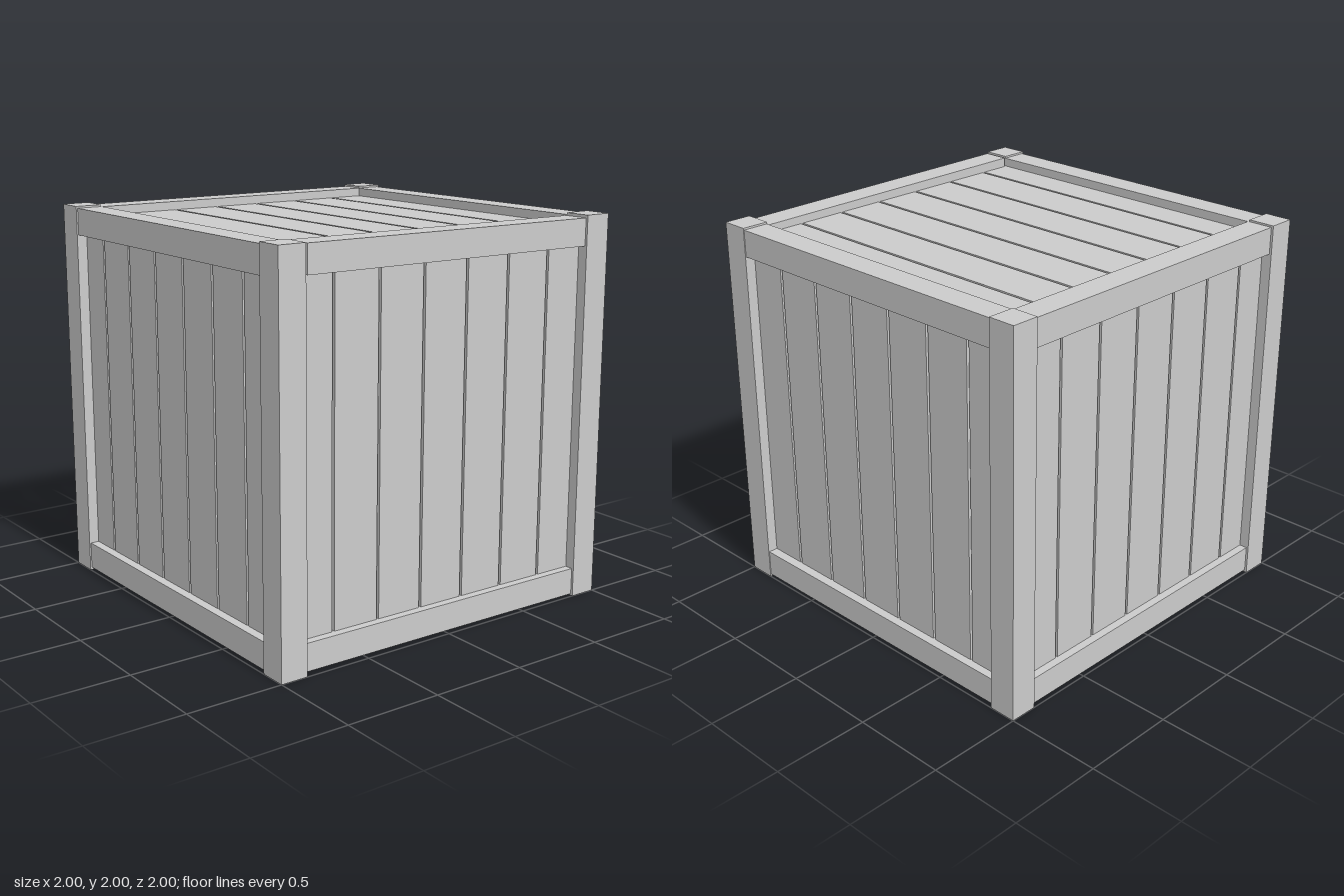
import * as THREE from 'three';

const material = new THREE.MeshStandardMaterial({ color: 0xcccccc, flatShading: true });

function beam(name, size, position) {
  const mesh = new THREE.Mesh(new THREE.BoxGeometry(...size), material);
  mesh.name = name;
  mesh.position.set(...position);
  return mesh;
}

// Seven boards with narrow gaps, facing +z and running along y
function plankPanel(name) {
  const panel = new THREE.Group();
  panel.name = name;
  const pitch = 0.262, gap = 0.014, thickness = 0.04;
  for (let i = -3; i <= 3; i++) {
    panel.add(beam('plank', [pitch - gap, 1.84, thickness],
      [i * pitch - 0.013, 0, 0.945 - thickness / 2]));
  }
  return panel;
}

export function createModel() {
  const crate = new THREE.Group();
  crate.name = 'woodenCrate';
  const post = 0.145, rail = 0.14;
  const postAt = 1 - post / 2;

  // Corner posts
  for (const x of [-1, 1]) for (const z of [-1, 1]) {
    crate.add(beam('cornerPost', [post, 2, post], [x * postAt, 1, z * postAt]));
  }

  // Horizontal rails, set slightly inside the post ends
  for (const y of [0.084, 1.92]) {
    const level = y > 1 ? 'top' : 'bottom';
    for (const s of [-1, 1]) {
      const notch = level === 'top' && s > 0 ? 0.015 : 0;
      const across = beam(level + (s > 0 ? 'FrontRail' : 'BackRail'),
        [1.71 - notch, rail, rail], [notch / 2, y, s * 0.918]);
      if (s > 0) across.rotation.z = -0.006; // the front rails hang a touch crooked
      crate.add(across);

      const side = beam(level + (s > 0 ? 'LeftRail' : 'RightRail'),
        [rail, rail, 1.71], [s * 0.922, y, 0]);
      if (s > 0) side.rotation.y = 0.005;
      crate.add(side);
    }
  }

  // Recessed board panels on all six faces
  const place = (name, rx, ry, rz = 0) => {
    const panel = plankPanel(name);
    panel.rotation.set(rx, ry, rz);
    panel.position.y = 1;
    crate.add(panel);
    return panel;
  };
  place('frontPanel', 0, 0);
  place('backPanel', 0, 0).scale.z = -1;
  place('leftPanel', 0, Math.PI / 2).scale.x = -1;
  place('rightPanel', 0, -Math.PI / 2);
  place('lid', -Math.PI / 2, 0);
  place('floor', Math.PI / 2, 0, Math.PI / 2);

  return crate;
}
